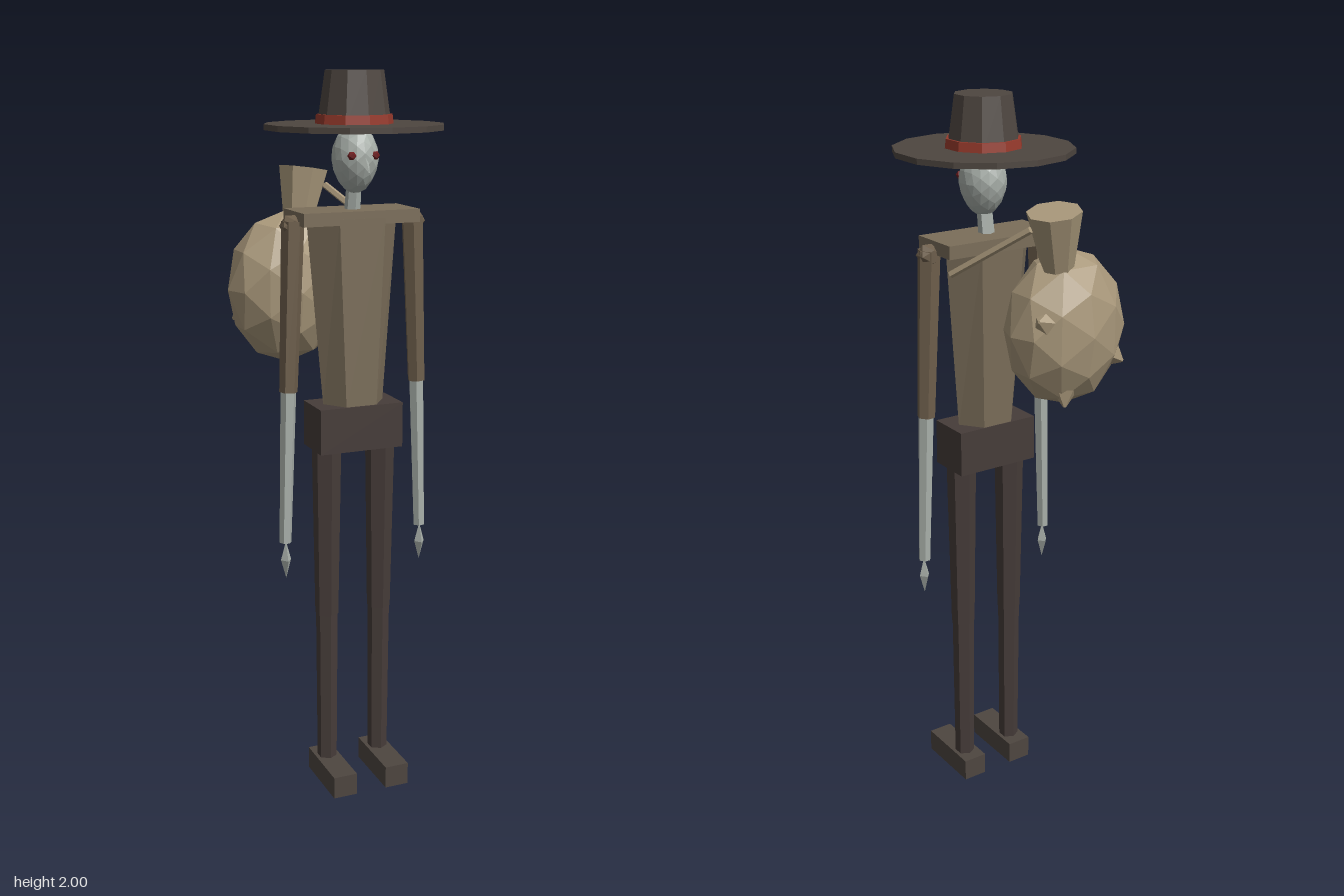
import * as THREE from 'three';

const mat = (name, color, extra = {}) => {
  const m = new THREE.MeshStandardMaterial({ color, flatShading: true, ...extra });
  m.name = name;
  return m;
};

export function createModel() {
  const felt = mat('dark felt', 0x4e4640);
  const trousers = mat('trouser cloth', 0x463c39);
  const coat = mat('coat cloth', 0x7b6e5a);
  const sleeve = mat('sleeve cloth', 0x6e5f4c);
  const bone = mat('pale bone', 0xa9b0aa);
  const sack = mat('sackcloth', 0xa8977a);
  const red = mat('red band', 0x963a2c);
  const eyeRed = mat('eye red', 0x6e1c1e);

  const model = new THREE.Group();
  model.name = 'thinTraveller';
  const body = new THREE.Group(); // everything symmetric about the body axis
  body.name = 'body';
  body.position.set(0.027, 0, 0.045);
  model.add(body);

  const add = (parent, name, geo, material, x = 0, y = 0, z = 0) => {
    const m = new THREE.Mesh(geo, material);
    m.name = name;
    m.position.set(x, y, z);
    parent.add(m);
    return m;
  };
  // tapered limb from a (radius ra) to b (radius rb)
  const limb = (parent, name, a, b, ra, rb, sides, material) => {
    const A = new THREE.Vector3(...a), B = new THREE.Vector3(...b);
    const m = add(parent, name, new THREE.CylinderGeometry(rb, ra, A.distanceTo(B), sides), material);
    m.position.copy(A).lerp(B, 0.5);
    m.quaternion.setFromUnitVectors(new THREE.Vector3(0, 1, 0), B.sub(A).normalize());
    return m;
  };

  // Hat
  add(body, 'hatBrim', new THREE.CylinderGeometry(0.238, 0.238, 0.015, 14), felt, 0, 1.858);
  add(body, 'hatCrown', new THREE.CylinderGeometry(0.077, 0.097, 0.137, 10), felt, 0, 1.9315);
  add(body, 'hatBand', new THREE.CylinderGeometry(0.1, 0.103, 0.025, 10), red, 0, 1.877);

  // Head: skull narrowing towards the chin
  const skull = new THREE.IcosahedronGeometry(1, 2);
  const p = skull.attributes.position;
  for (let i = 0; i < p.count; i++) {
    const k = 1 + 0.12 * Math.min(0, p.getY(i));
    p.setXYZ(i, p.getX(i) * 0.061 * k, p.getY(i) * 0.09, p.getZ(i) * 0.07 * k);
  }
  skull.computeVertexNormals();
  add(body, 'head', skull, bone, 0, 1.775, 0.005);
  for (const s of [1, -1])
    add(body, s > 0 ? 'leftEye' : 'rightEye', new THREE.IcosahedronGeometry(0.012, 0), eyeRed, s * 0.033, 1.787, 0.062);
  limb(body, 'nose', [0, 1.772, 0.066], [0, 1.745, 0.1], 0.013, 0.001, 4, bone);
  limb(body, 'neck', [0, 1.62, -0.015], [0, 1.715, 0], 0.022, 0.02, 6, bone);

  // Torso: tapered hexagon leaning slightly
  const torso = new THREE.CylinderGeometry(0.13, 0.088, 0.51, 6, 1, false, Math.PI / 6);
  const t = torso.attributes.position;
  for (let i = 0; i < t.count; i++) {
    const up = t.getY(i) > 0;
    t.setZ(i, t.getZ(i) * (up ? 0.66 : 0.78) + (up ? -0.015 : -0.003));
  }
  torso.computeVertexNormals();
  add(body, 'torso', torso, coat, 0, 1.37);
  add(body, 'shoulderYoke', new THREE.BoxGeometry(0.33, 0.035, 0.15), coat, 0, 1.627, -0.016);
  add(body, 'pelvis', new THREE.BoxGeometry(0.242, 0.125, 0.126), trousers, 0, 1.058, -0.002);

  // Arms and legs
  for (const s of [1, -1]) {
    const side = s > 0 ? 'left' : 'right';
    add(body, side + 'Shoulder', new THREE.IcosahedronGeometry(0.033, 0), sleeve, s * 0.175, 1.607, -0.005);
    limb(body, side + 'UpperArm', [s * 0.172, 1.62, -0.003], [s * 0.19, 1.165, 0], 0.031, 0.025, 6, sleeve);
    limb(body, side + 'Forearm', [s * 0.19, 1.17, 0], [s * 0.204, 0.74, 0.003], 0.022, 0.017, 6, bone);
    const hand = add(body, side + 'Hand', new THREE.OctahedronGeometry(1, 0), bone, s * 0.204, 0.69, 0.006);
    hand.scale.set(0.015, 0.054, 0.019);
    limb(body, side + 'Thigh', [s * 0.08, 1.01, 0], [s * 0.08, 0.51, 0], 0.041, 0.033, 6, trousers);
    limb(body, side + 'Shin', [s * 0.08, 0.52, 0], [s * 0.08, 0.05, 0], 0.031, 0.028, 6, trousers);
    add(body, side + 'Shoe', new THREE.BoxGeometry(0.07, 0.064, 0.198), felt, s * 0.08, 0.032, 0.041);
  }

  // Sack over the back
  const bag = new THREE.Group();
  bag.name = 'sack';
  model.add(bag);
  const bagCentre = new THREE.Vector3(-0.09, 1.415, -0.157);
  const belly = add(bag, 'sackBelly', new THREE.IcosahedronGeometry(1, 1), sack);
  belly.position.copy(bagCentre);
  belly.scale.set(0.172, 0.212, 0.131);
  limb(bag, 'sackNeck', [-0.045, 1.585, -0.185], [-0.022, 1.735, -0.198], 0.042, 0.072, 8, sack);
  limb(bag, 'sackStrap', [0.155, 1.555, 0.01], [0.03, 1.69, -0.17], 0.01, 0.01, 5, sack);

  // Pointed lumps pushing through the cloth
  for (const d of [[0.125, 0.05, -0.075], [0.04, -0.165, -0.06], [-0.11, -0.08, -0.07]]) {
    const e = Math.hypot(d[0] / 0.172, d[1] / 0.212, d[2] / 0.131);
    const at = (k) => bagCentre.clone().add(new THREE.Vector3(...d).multiplyScalar(k / e)).toArray();
    limb(bag, 'sackLump', at(0.88), at(1.1), 0.034, 0.004, 5, sack);
  }
  return model;
}
